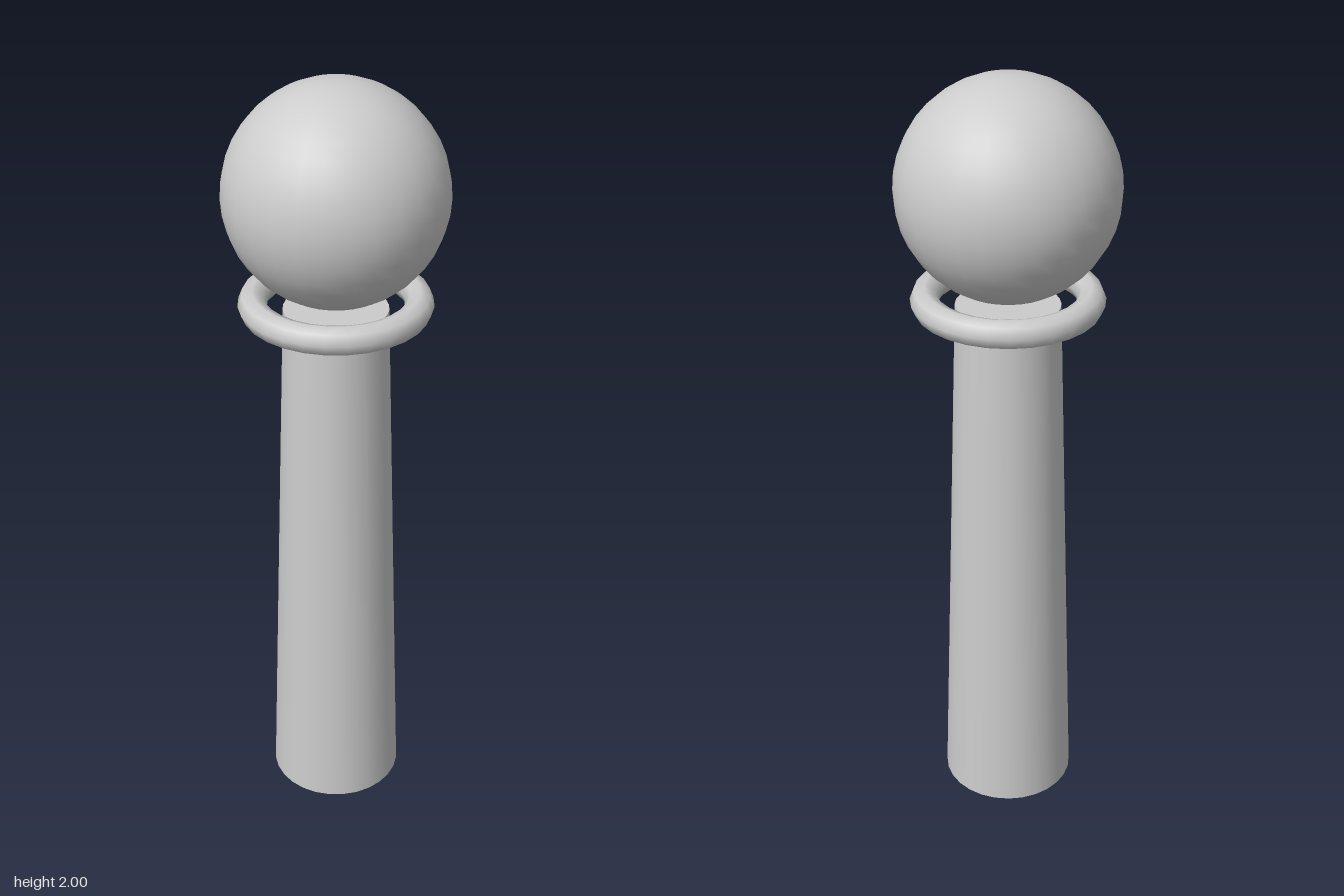
import * as THREE from 'three';

export function createModel() {
  const group = new THREE.Group();
  const grey = new THREE.MeshStandardMaterial({ color: 0xcccccc });
  grey.name = 'light grey';

  const add = (name, geometry, y) => {
    const mesh = new THREE.Mesh(geometry, grey);
    mesh.name = name;
    mesh.position.y = y;
    group.add(mesh);
  };

  // Tapered post with closed ends
  const postHeight = 1.435;
  add('post', new THREE.CylinderGeometry(0.13, 0.175, postHeight, 28), postHeight / 2);

  // Loose collar ring around the top of the post
  add('collar', new THREE.TorusGeometry(0.203, 0.036, 8, 28).rotateX(Math.PI / 2), 1.45);

  // Ball finial
  add('ball', new THREE.SphereGeometry(0.271, 28, 20), 1.729);

  return group;
}
